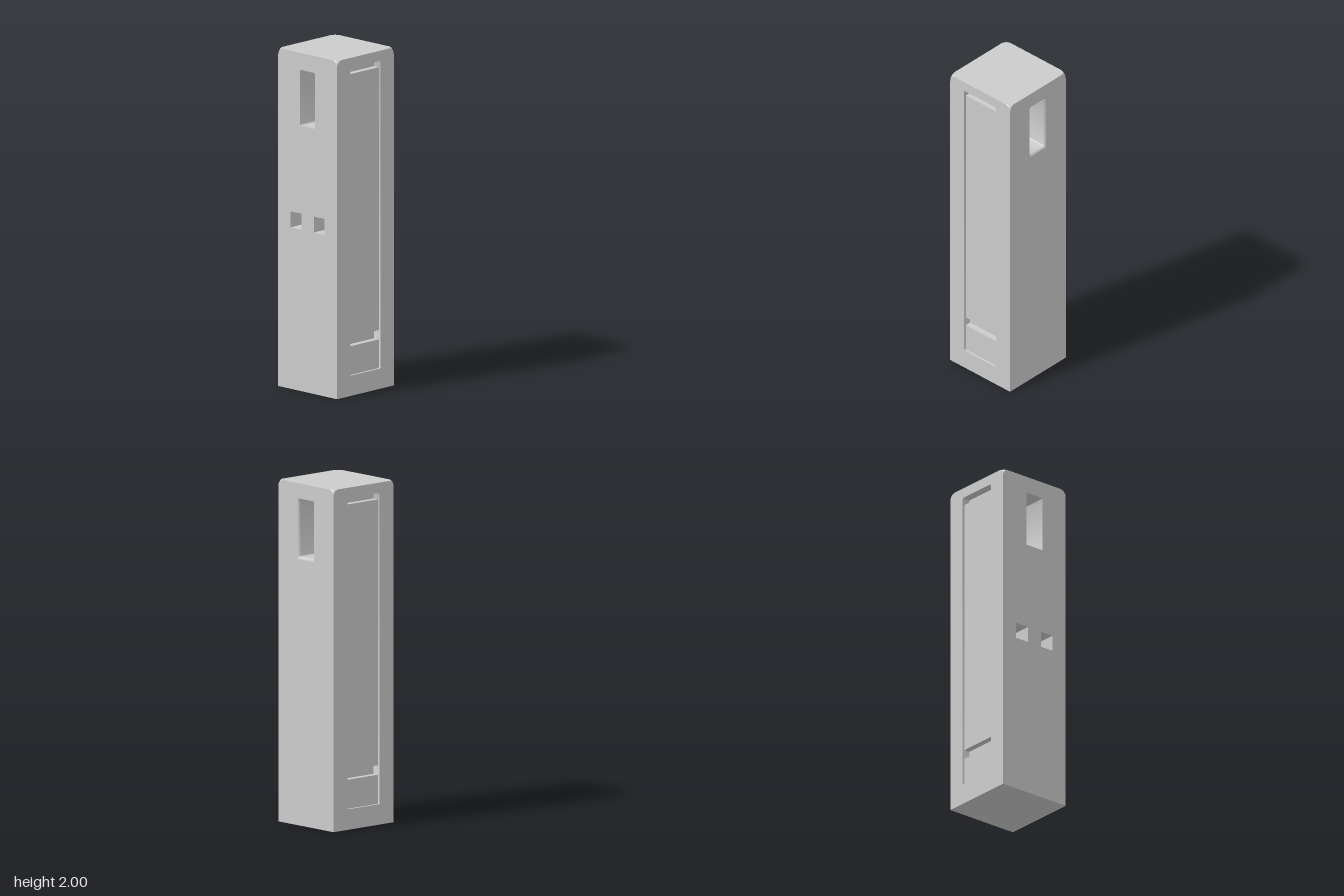
import * as THREE from 'three';
import { toCreasedNormals } from 'three/addons/utils/BufferGeometryUtils.js';

const H = 0.235;      // half width of the square tower
const TOP = 2;
const R = 0.04;       // rounding of the upper corners
const SEG = 6;        // segments per rounded corner

const material = new THREE.MeshStandardMaterial({ color: 0xcccccc });
const lining = new THREE.MeshStandardMaterial({ color: 0xcccccc, side: THREE.DoubleSide });

function add(parent, name, geometry, mat = material) {
  const mesh = new THREE.Mesh(geometry, mat);
  mesh.name = name;
  parent.add(mesh);
  return mesh;
}

// Rectangle outline, counter-clockwise, with separate lower and upper corner radii
function outline(x0, y0, x1, y1, rLow, rHigh = rLow) {
  const points = [];
  const corners = [[x1, y0, -1, 1, rLow], [x1, y1, -1, -1, rHigh], [x0, y1, 1, -1, rHigh], [x0, y0, 1, 1, rLow]];
  corners.forEach(([x, y, sx, sy, r], k) => {
    const n = r > 0 ? SEG : 0;
    for (let i = 0; i <= n; i++) {
      const a = (k - 1 + (n ? i / n : 0)) * Math.PI / 2;
      points.push(new THREE.Vector2(x + sx * r + r * Math.cos(a), y + sy * r + r * Math.sin(a)));
    }
  });
  return points;
}

function plate(points, holes = []) {
  const shape = new THREE.Shape(points);
  holes.forEach(h => shape.holes.push(new THREE.Path(h)));
  return new THREE.ShapeGeometry(shape);
}

// Skin over closed rings of 3D points
function loft(rings) {
  const n = rings[0].length, index = [];
  for (let j = 0; j < rings.length - 1; j++) {
    for (let i = 0; i < n; i++) {
      const a = j * n + i, b = j * n + (i + 1) % n;
      index.push(a, b, b + n, a, b + n, a + n);
    }
  }
  const geometry = new THREE.BufferGeometry().setFromPoints(rings.flat());
  geometry.setIndex(index);
  geometry.computeVertexNormals();
  return geometry;
}

const at = (points, z) => points.map(p => new THREE.Vector3(p.x, p.y, z));
const tunnel = (points, z0, z1) => toCreasedNormals(loft([at(points, z0), at(points, z1)]), 0.6);

// One upright wall, drawn facing +z and turned into place
function wall(parent, name, angle, holes) {
  const group = new THREE.Group();
  group.name = name;
  group.rotation.y = angle;
  parent.add(group);
  add(group, name + 'Face', plate(outline(-H, 0, H, TOP, 0, R), holes)).position.z = H;
  return group;
}

// Front and back: recessed panels with deeper slots between them
function panelWall(parent, name, angle) {
  const frame = outline(-0.125, 0.12, 0.125, 1.94, 0.008);
  const group = wall(parent, name, angle, [frame]);
  const floor = H - 0.05, face = H - 0.013;
  add(group, 'recessSides', tunnel(frame, H, floor), lining);
  add(group, 'slotFloor', plate(frame)).position.z = floor;
  for (const [label, y0, y1] of [['lowerPanel', 0.12, 0.29], ['mainPanel', 0.345, 1.9]]) {
    const panel = add(group, label, new THREE.BoxGeometry(0.25, y1 - y0, face - floor));
    panel.position.set(0, (y0 + y1) / 2, (face + floor) / 2);
  }
}

// Spherical blend where three faces meet at an upper corner
function cornerGeometry() {
  const boundary = [];
  for (let k = 0; k < 3; k++) {
    for (let i = 0; i < SEG; i++) {
      const a = (i / SEG) * Math.PI / 2, c = Math.cos(a), s = Math.sin(a);
      boundary.push(new THREE.Vector3(...[[c, s, 1], [1, c, s], [s, 1, c]][[0, 2, 1][k]]));
    }
  }
  // Order the boundary around the diagonal so the skin faces outward
  const axis = new THREE.Vector3(1, 1, 1).normalize();
  const u = new THREE.Vector3(1, -1, 0).normalize(), v = axis.clone().cross(u);
  boundary.sort((p, q) => Math.atan2(p.dot(v), p.dot(u)) - Math.atan2(q.dot(v), q.dot(u)));
  const rings = [0, 0.25, 0.5, 0.75, 1].map(t => boundary.map(p =>
    p.clone().normalize().lerp(axis, t).normalize().multiplyScalar(R * Math.SQRT2)));
  return loft(rings);
}

export function createModel() {
  const model = new THREE.Group();
  model.name = 'tower';

  panelWall(model, 'frontWall', 0);
  panelWall(model, 'backWall', Math.PI);

  // Window through both sides, with a rounded rim on the +x side
  const rim = 0.015;
  const windowAt = e => outline(-0.06 - e, 1.57 - e, 0.06 + e, 1.9 + e, 0.008);
  const leftWall = wall(model, 'leftWall', Math.PI / 2, [windowAt(rim)]);
  const rings = [];
  for (let i = 0; i <= SEG; i++) {
    const a = (i / SEG) * Math.PI / 2;
    rings.push(at(windowAt(rim * (1 - Math.sin(a))), H - rim * (1 - Math.cos(a))));
  }
  add(leftWall, 'windowRim', toCreasedNormals(loft(rings), 0.6), lining);
  add(leftWall, 'windowTunnel', tunnel(windowAt(0), H - rim, -H), lining);

  // Two square sockets below the window on the -x side
  const sockets = [-1, 1].map(s => outline(s * 0.0925 - 0.0435, 0.955, s * 0.0925 + 0.0435, 1.05, 0));
  const rightWall = wall(model, 'rightWall', -Math.PI / 2, [windowAt(0), ...sockets]);
  for (const socket of sockets) {
    add(rightWall, 'socketSides', tunnel(socket, H, H - 0.12), lining);
    add(rightWall, 'socketFloor', plate(socket)).position.z = H - 0.12;
  }

  // Top and bottom
  const top = add(model, 'top', plate(outline(-H, -H, H, H, R)));
  top.rotation.x = -Math.PI / 2;
  top.position.y = TOP;
  add(model, 'bottom', plate(outline(-H, -H, H, H, 0))).rotation.x = Math.PI / 2;

  // Rounded upper corners
  const corner = cornerGeometry();
  for (let k = 0; k < 4; k++) {
    const pivot = new THREE.Group();
    pivot.name = 'upperCorner';
    pivot.rotation.y = k * Math.PI / 2;
    add(pivot, 'cornerBlend', corner, lining).position.set(H - R, TOP - R, H - R);
    model.add(pivot);
  }
  return model;
}
